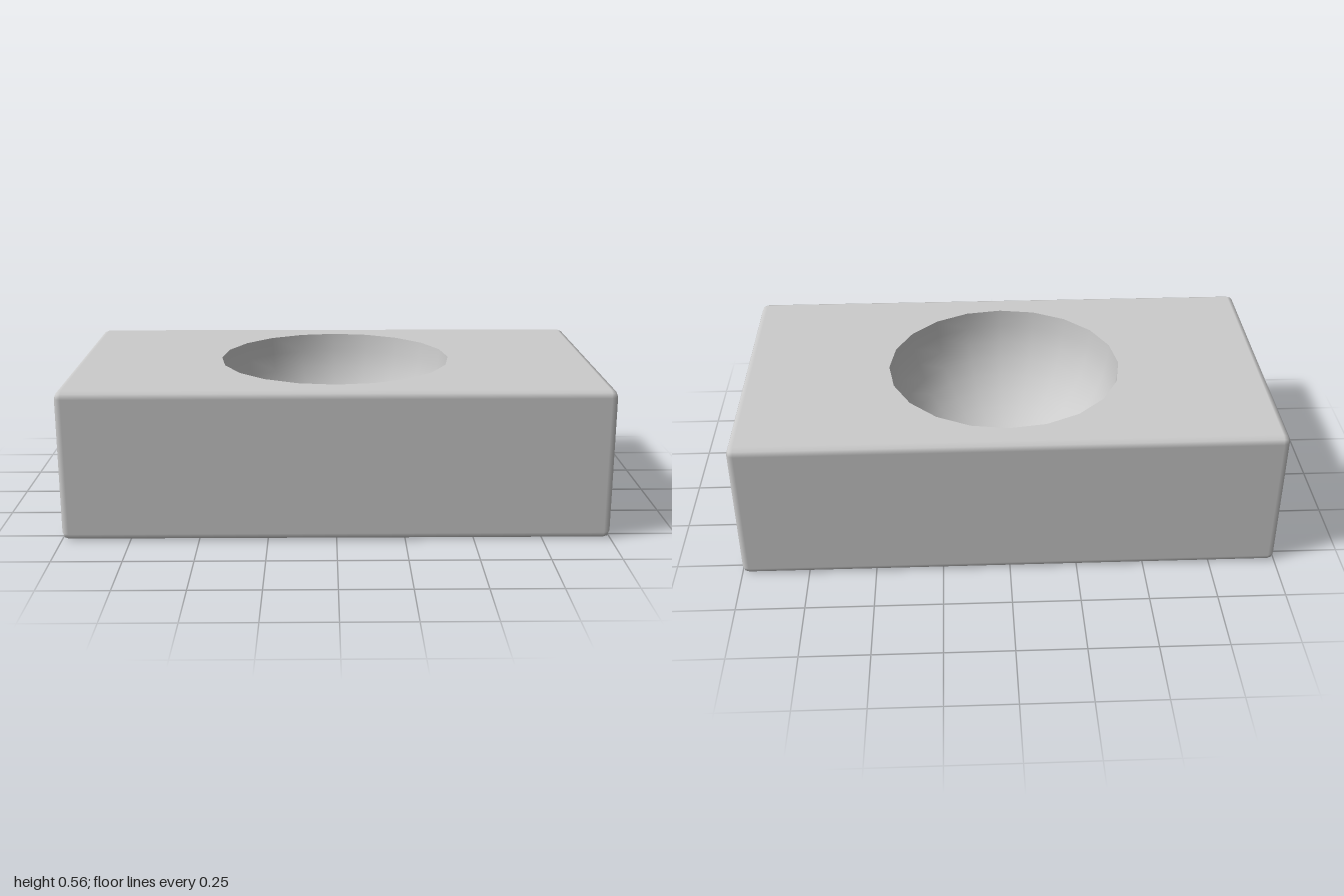
import * as THREE from 'three';
import { RoundedBoxGeometry } from 'three/addons/geometries/RoundedBoxGeometry.js';

const W = 2, H = 0.556, D = 1.11;   // block size
const BEVEL = 0.026;                // rounded edge radius
const R = 0.445, SIDES = 20;        // hemispherical bowl

// Rounded block with its flat top panel left out
function openBlock() {
  const geo = new RoundedBoxGeometry(W, H, D, 1, BEVEL);
  const solid = geo.index ? geo.toNonIndexed() : geo;
  const pos = solid.attributes.position, nor = solid.attributes.normal;
  const points = [], normals = [];
  for (let i = 0; i < pos.count; i += 3) {
    const corners = [i, i + 1, i + 2];
    if (corners.every(k => pos.getY(k) > H / 2 - 1e-4)) continue;
    for (const k of corners) {
      points.push(pos.getX(k), pos.getY(k), pos.getZ(k));
      normals.push(nor.getX(k), nor.getY(k), nor.getZ(k));
    }
  }
  const open = new THREE.BufferGeometry();
  open.setAttribute('position', new THREE.Float32BufferAttribute(points, 3));
  open.setAttribute('normal', new THREE.Float32BufferAttribute(normals, 3));
  return open.translate(0, H / 2, 0);
}

// Flat top panel with a polygonal opening for the bowl
function topPanel() {
  const x = W / 2 - BEVEL, z = D / 2 - BEVEL;
  const shape = new THREE.Shape([
    new THREE.Vector2(-x, -z), new THREE.Vector2(x, -z),
    new THREE.Vector2(x, z), new THREE.Vector2(-x, z),
  ]);
  const rim = [];
  for (let i = 0; i < SIDES; i++) {
    const a = -i / SIDES * Math.PI * 2;
    rim.push(new THREE.Vector2(R * Math.cos(a), R * Math.sin(a)));
  }
  shape.holes.push(new THREE.Path(rim));
  return new THREE.ShapeGeometry(shape).rotateX(-Math.PI / 2).translate(0, H, 0);
}

// Bowl profile runs from rim to centre so that its inside shows
function bowlSurface() {
  const profile = [], steps = 10;
  for (let i = 0; i <= steps; i++) {
    const a = i / steps * Math.PI / 2;
    profile.push(new THREE.Vector2(i === steps ? 0 : R * Math.cos(a), H - R * Math.sin(a)));
  }
  return new THREE.LatheGeometry(profile, SIDES);
}

export function createModel() {
  const group = new THREE.Group();
  group.name = 'blockWithBowl';
  const material = new THREE.MeshStandardMaterial({ color: 0xcccccc });
  const parts = { block: openBlock(), topPanel: topPanel(), bowl: bowlSurface() };
  for (const [name, geometry] of Object.entries(parts)) {
    const mesh = new THREE.Mesh(geometry, material);
    mesh.name = name;
    group.add(mesh);
  }
  return group;
}
